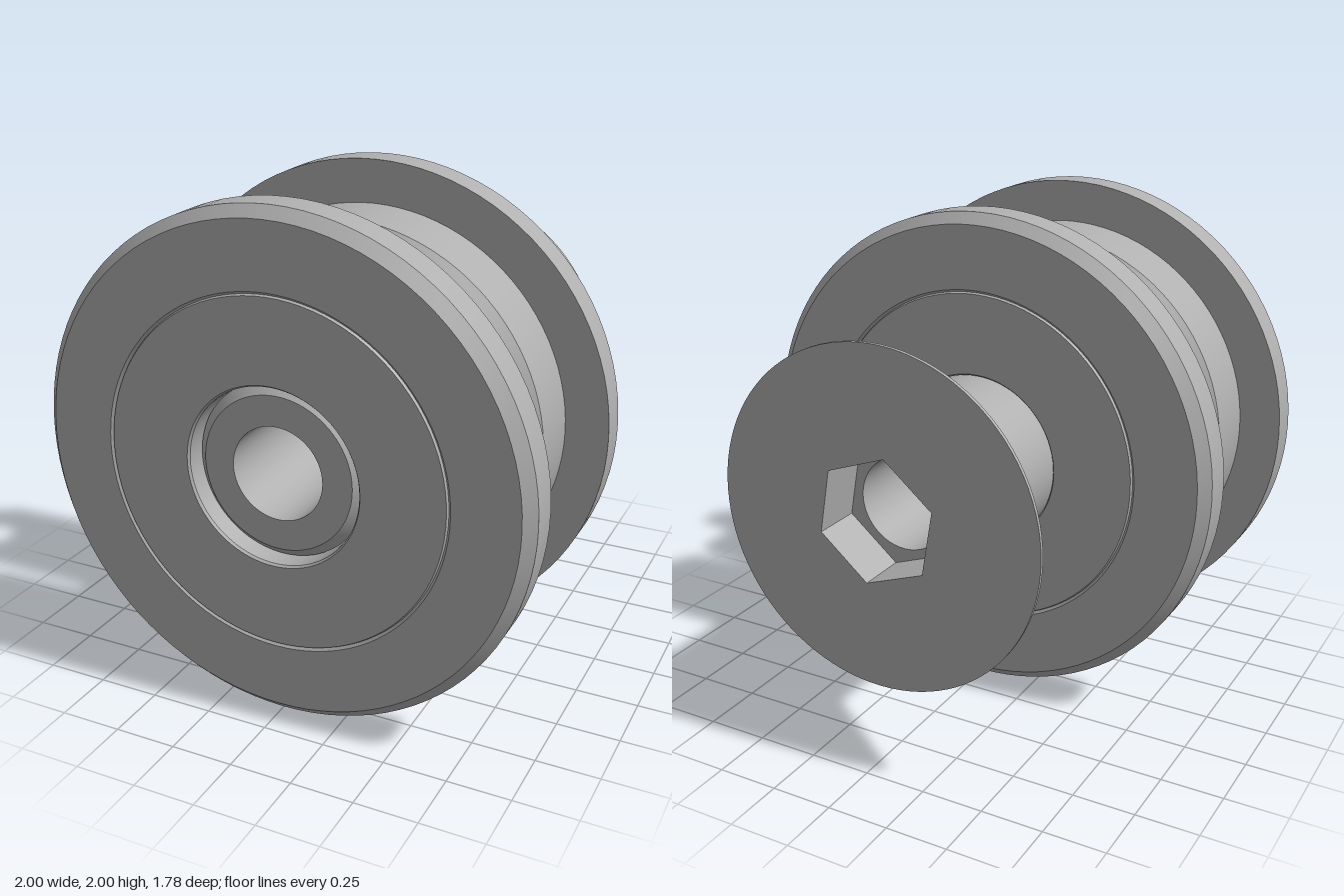
import * as THREE from 'three';
import { toCreasedNormals } from 'three/addons/utils/BufferGeometryUtils.js';

const steel = new THREE.MeshStandardMaterial({ color: 0xb0b0b0, side: THREE.DoubleSide });
steel.name = 'steel';

const HEX_R = 0.257, BORE_R = 0.185, HEAD_R = 0.675, HEAD_Z = -0.89, SOCKET_DEPTH = 0.2;

function part(name, geometry) {
  const mesh = new THREE.Mesh(geometry, steel);
  mesh.name = name;
  return mesh;
}

// Solid of revolution about z from [radius, z] points, with sharp edges
function turned(name, profile, closed = true) {
  const points = profile.map(([r, z]) => new THREE.Vector2(r, z));
  if (closed) points.push(points[0].clone());
  const geometry = new THREE.LatheGeometry(points, 96).rotateX(Math.PI / 2);
  return part(name, toCreasedNormals(geometry, 0.5));
}

// Hexagon outline, turned 20 degrees as seen from behind
function hexPoints() {
  return Array.from({ length: 6 }, (_, i) => {
    const a = THREE.MathUtils.degToRad(20 + i * 60);
    return new THREE.Vector2(HEX_R * Math.cos(a), HEX_R * Math.sin(a));
  });
}

// Flat plate facing the rear
function rearPlate(name, shape, z) {
  return part(name, new THREE.ShapeGeometry(shape, 48).rotateY(Math.PI).translate(0, 0, z));
}

// Flanged ring with a separate bearing insert, flange towards -z
function flangedWheel(name) {
  const wheel = new THREE.Group();
  wheel.name = name;
  wheel.add(
    turned('flangedRing', [
      [0.69, -0.14], [0.7, -0.15], [0.957, -0.15], [1, -0.107], [1, 0.02], [0.825, 0.02],
      [0.825, 0.283], [0.783, 0.325], [0.7, 0.325], [0.69, 0.315],
    ]),
    turned('bearingInsert', [
      [0.35, -0.14], [0.357, -0.15], [0.685, -0.15], [0.69, -0.14],
      [0.69, 0.315], [0.685, 0.325], [0.35, 0.325],
    ]),
  );
  return wheel;
}

// Hollow countersunk bolt with a hex socket in its head
function hollowBolt() {
  const bolt = new THREE.Group();
  bolt.name = 'hollowBolt';
  const floorZ = HEAD_Z + SOCKET_DEPTH;

  bolt.add(turned('boltBody', [
    [HEAD_R, HEAD_Z], [HEAD_R, -0.875], [0.345, -0.545], [0.345, 0.805],
    [0.305, 0.845], [BORE_R, 0.845], [BORE_R, floorZ],
  ], false));

  const face = new THREE.Shape().absarc(0, 0, HEAD_R, 0, Math.PI * 2);
  face.holes.push(new THREE.Path(hexPoints()));
  bolt.add(rearPlate('headFace', face, HEAD_Z));

  const floor = new THREE.Shape(hexPoints());
  floor.holes.push(new THREE.Path().absarc(0, 0, BORE_R, 0, Math.PI * 2));
  bolt.add(rearPlate('socketFloor', floor, floorZ));

  const walls = new THREE.CylinderGeometry(HEX_R, HEX_R, SOCKET_DEPTH, 6, 1, true, Math.PI / 18)
    .rotateX(Math.PI / 2).translate(0, 0, HEAD_Z + SOCKET_DEPTH / 2);
  bolt.add(part('socketWalls', toCreasedNormals(walls, 0.5)));
  return bolt;
}

export function createModel() {
  const model = new THREE.Group();
  model.name = 'flangedRoller';

  const rearWheel = flangedWheel('rearWheel');
  const frontWheel = flangedWheel('frontWheel');
  frontWheel.rotation.y = Math.PI;
  frontWheel.position.z = 0.74;

  model.add(rearWheel, frontWheel, hollowBolt());
  model.children.forEach((child) => { child.position.y = 1; });
  return model;
}
